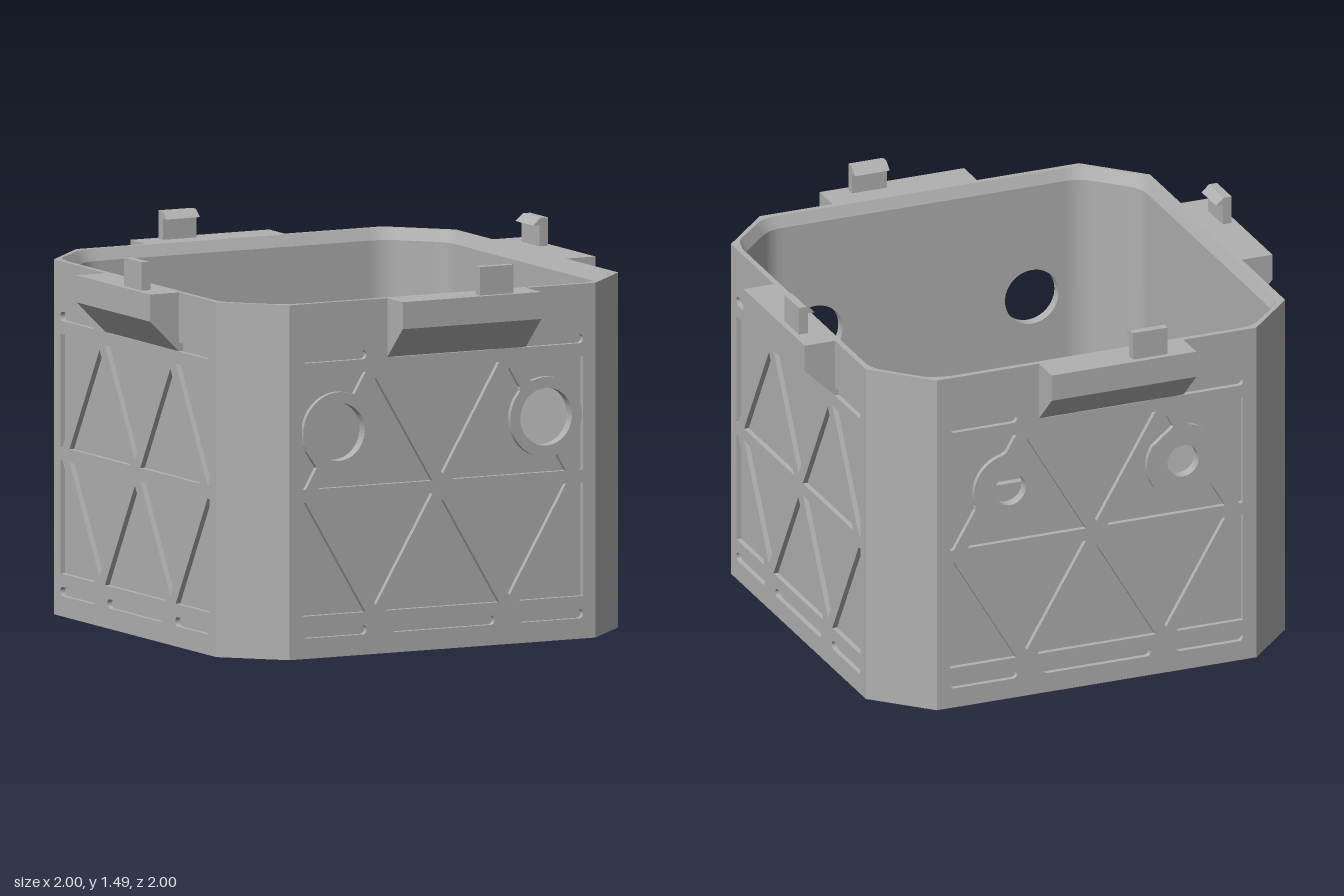
import * as THREE from 'three';
import { toCreasedNormals } from 'three/addons/utils/BufferGeometryUtils.js';

const H = 1.375, RIM = 0.045;            // wall height, height of the bevelled rim
const FACE = 0.873, SKIN = 0.853, INNER = 0.83; // outer face, pocket floor, inside face
const HALF = 0.665;                      // half width of a flat side
const MID = 0.63;                        // height of the middle rib

const V = (x, y) => new THREE.Vector2(x, y);

function extrude(shape, depth, curveSegments = 24) {
  return new THREE.ExtrudeGeometry(shape, { depth, bevelEnabled: false, curveSegments });
}

// Plan outline (x, z) raised from y0 to y1
function raise(shape, y0, y1) {
  return extrude(shape, y1 - y0, 8).rotateX(Math.PI / 2).translate(0, y1, 0);
}

function rect(x0, x1, y0, y1) {
  return new THREE.Shape([V(x0, y0), V(x1, y0), V(x1, y1), V(x0, y1)]);
}

function circle(x, y, r) {
  return new THREE.Path().absarc(x, y, r, 0, Math.PI * 2);
}

// Convex counter-clockwise polygon moved inwards by d
function inset(pts, d) {
  const n = pts.length;
  const edges = pts.map((p, i) => {
    const dir = pts[(i + 1) % n].clone().sub(p).normalize();
    return { p: V(p.x - dir.y * d, p.y + dir.x * d), dir };
  });
  return edges.map((b, i) => {
    const a = edges[(i + n - 1) % n];
    const t = b.p.clone().sub(a.p).cross(b.dir) / a.dir.cross(b.dir);
    return a.p.clone().addScaledVector(a.dir, t);
  });
}

// Pocket outline that gives way to the round bosses
function pocket(pts, bosses) {
  const out = [], n = pts.length;
  pts.forEach((a, i) => {
    const b = pts[(i + 1) % n], dir = b.clone().sub(a).normalize();
    const nrm = V(-dir.y, dir.x);
    for (let k = 0; k < 32; k++) {
      const p = a.clone().lerp(b, k / 32);
      for (const c of bosses) {
        const q = p.clone().sub(V(c.x, c.y));
        if (q.length() < c.r) {
          const m = q.dot(nrm);
          p.addScaledVector(nrm, -m + Math.sqrt(m * m - q.lengthSq() + c.r * c.r));
        }
      }
      out.push(p);
    }
  });
  return new THREE.Path(out);
}

function slot(x0, x1, y0, y1) {
  const r = (y1 - y0) / 2, y = (y0 + y1) / 2;
  return new THREE.Path()
    .absarc(x1 - r, y, r, -Math.PI / 2, Math.PI / 2)
    .absarc(x0 + r, y, r, Math.PI / 2, Math.PI * 1.5);
}

// Triangular rib lattice with slots above and below
function latticeHoles(bosses) {
  const rise = 0.49, holes = [];
  for (const sy of [1, -1]) {
    const Y = MID + sy * rise;
    const cells = [[V(0, MID), V(0.29, Y), V(-0.29, Y)]];
    for (const sx of [1, -1]) {
      cells.push([V(0, MID), V(sx * 0.58, MID), V(sx * 0.29, Y)]);
      cells.push([V(sx * 0.58, MID), V(sx * 0.635, MID), V(sx * 0.635, Y), V(sx * 0.29, Y)]);
    }
    for (const c of cells) {
      if (THREE.ShapeUtils.area(c) < 0) c.reverse();
      holes.push(pocket(inset(c, 0.025), bosses));
    }
    const s = MID + sy * 0.533;
    for (const [x0, x1] of [[-0.61, -0.33], [-0.225, 0.225], [0.33, 0.61]]) {
      holes.push(slot(x0, x1, s - 0.018, s + 0.018));
    }
  }
  return holes;
}

// Leans the inner top edge outwards to bevel the rim
function bevelRim(geo) {
  const p = geo.attributes.position;
  for (let i = 0; i < p.count; i++) {
    const x = p.getX(i), z = p.getZ(i);
    if (p.getY(i) > H - 0.001 && Math.max(Math.abs(x), Math.abs(z)) < 0.84) {
      p.setX(i, x * 1.025);
      p.setZ(i, z * 1.025);
    }
  }
  geo.computeVertexNormals();
  return geo;
}

// Side profile (z, y) swept along x
function sweep(pts, x0, x1) {
  return extrude(new THREE.Shape(pts.map(p => V(...p))), x1 - x0).rotateY(-Math.PI / 2).translate(x1, 0, 0);
}

export function createModel() {
  const model = new THREE.Group();
  model.name = 'electronicsCase';
  const grey = new THREE.MeshStandardMaterial({ color: 0xb0b0b0 });
  grey.name = 'grey plastic';
  const add = (parent, name, geo, x = 0, y = 0, z = 0) => {
    const m = new THREE.Mesh(geo, grey);
    m.name = name;
    m.position.set(x, y, z);
    parent.add(m);
  };

  // Corner section with a chamfered outside and a rounded inside
  const corner = new THREE.Shape();
  corner.moveTo(0.59, INNER);
  corner.quadraticCurveTo(0.647, INNER, 0.69, 0.787);
  corner.lineTo(0.787, 0.69);
  corner.quadraticCurveTo(INNER, 0.647, INNER, 0.59);
  for (const [x, z] of [[SKIN, 0.59], [SKIN, HALF], [FACE, HALF], [HALF, FACE], [HALF, SKIN], [0.59, SKIN]]) corner.lineTo(x, z);

  const portHoles = {
    front: [-0.45, 0.45].map(x => ({ x, y: 0.87, r: 0.155, bore: 0.112 })),
    back: [-0.36, 0.36].map(x => ({ x, y: 0.87, r: 0.15, bore: 0.065 })),
  };

  // Four sides, each with lattice, inner wall, corner, bracket and clip
  ['front', 'left', 'back', 'right'].forEach((label, i) => {
    const side = new THREE.Group();
    side.name = label + 'Side';
    side.rotation.y = i * Math.PI / 2;
    model.add(side);
    const ports = portHoles[label] || [];
    const bores = () => ports.map(c => circle(c.x, c.y, c.bore));

    const plate = rect(-HALF, HALF, 0, H);
    plate.holes.push(...latticeHoles(ports), ...bores());
    add(side, 'latticePanel', extrude(plate, FACE - SKIN), 0, 0, SKIN);

    const wall = rect(-0.59, 0.59, 0, H - RIM);
    wall.holes.push(...bores());
    add(side, 'innerWall', extrude(wall, SKIN - INNER), 0, 0, INNER);
    const strip = rect(-0.59, 0.59, INNER, SKIN);
    add(side, 'wallRim', bevelRim(raise(strip, H - RIM, H)));
    add(side, 'corner', toCreasedNormals(raise(corner, 0, H - RIM), 0.4));
    add(side, 'cornerRim', toCreasedNormals(bevelRim(raise(corner, H - RIM, H)), 0.4));

    add(side, 'bracket', sweep([[0.856, H], [1, H], [1, 1.27], [0.873, 1.147], [0.856, 1.147]], -0.24, 0.362));
    add(side, 'snapClip', sweep([[0.94, H - 0.01], [0.977, H - 0.01], [0.977, 1.485], [0.945, 1.485],
      [0.912, 1.457], [0.94, 1.457]], 0.107, 0.252));
  });

  // Floor with a central screw hole
  const a = 0.84, b = 0.655;
  const floor = new THREE.Shape([[b, a], [-b, a], [-a, b], [-a, -b], [-b, -a], [b, -a], [a, -b], [a, b]].map(p => V(...p)));
  floor.holes.push(circle(0, 0, 0.065));
  add(model, 'floor', raise(floor, 0, 0.06));
  add(model, 'screwSeat', new THREE.CylinderGeometry(0.07, 0.07, 0.03, 24), 0, 0.044, 0);
  add(model, 'screwHead', new THREE.CylinderGeometry(0.04, 0.04, 0.02, 6), 0, 0.022, 0);

  // Low frame on the floor, open in the middle of its back
  const frame = new THREE.Shape([[-0.17, -0.67], [-0.43, -0.67], [-0.43, 0.66], [0.35, 0.66], [0.35, -0.67], [0.09, -0.67],
    [0.09, -0.637], [0.315, -0.637], [0.315, 0.63], [-0.395, 0.63], [-0.395, -0.637], [-0.17, -0.637]].map(p => V(...p)));
  add(model, 'floorFrame', raise(frame, 0.05, 0.2));

  // Hollow mounting posts
  const post = new THREE.Shape().absarc(0, 0, 0.09, 0, Math.PI * 2);
  post.holes.push(circle(0, 0, 0.05));
  const postGeo = toCreasedNormals(raise(post, 0.05, 0.2), 0.5);
  for (const [x, z] of [[0.52, -0.705], [-0.595, -0.455], [-0.595, 0.59], [0.52, 0.565]]) {
    add(model, 'mountingPost', postGeo, x, 0, z);
  }
  return model;
}
